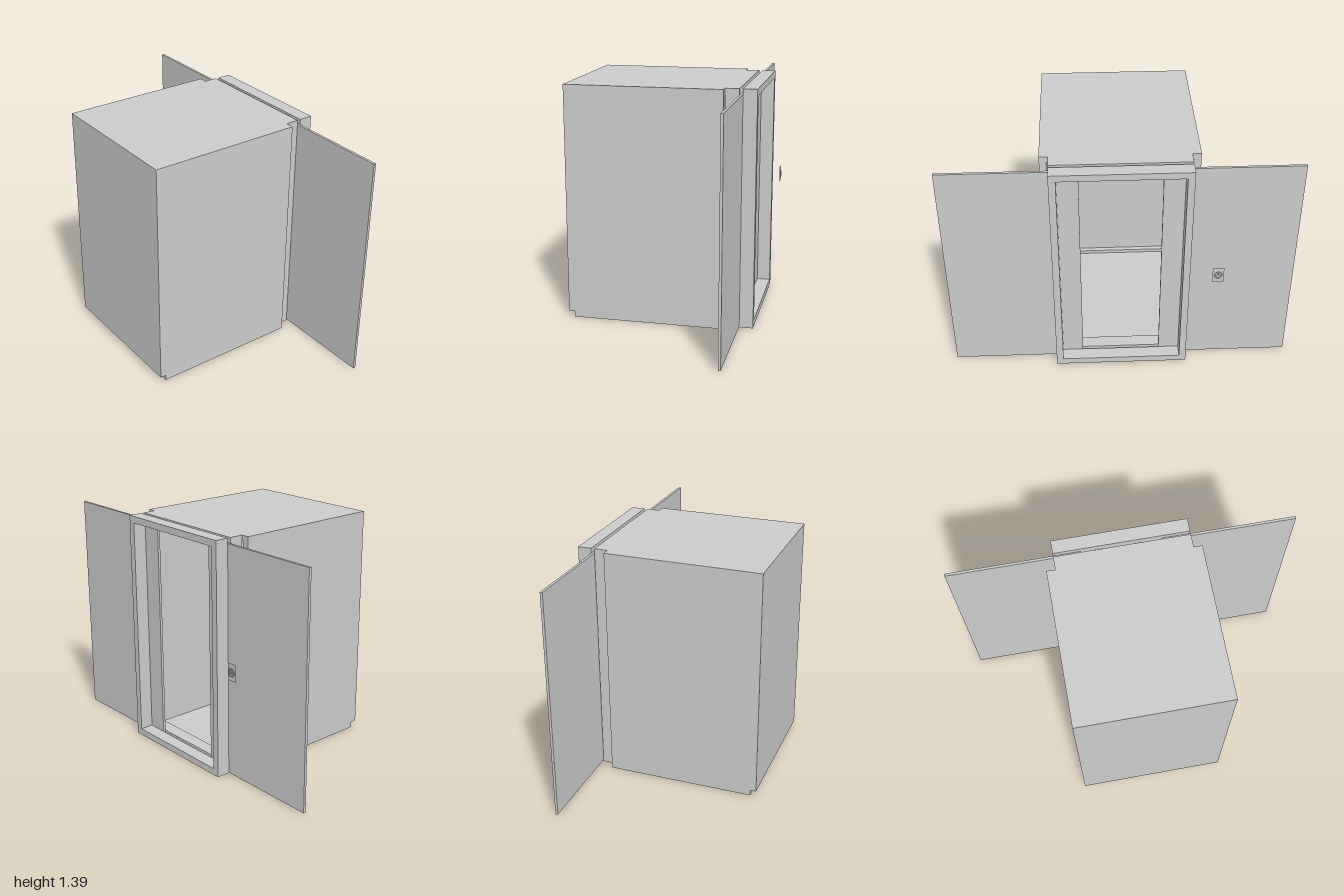
import * as THREE from 'three';

const material = new THREE.MeshStandardMaterial({ color: 0xcccccc, flatShading: true });
const thin = new THREE.MeshStandardMaterial({ color: 0xcccccc, side: THREE.DoubleSide });

// Box given by its minimum and maximum on each axis
function slab(name, [x0, x1], [y0, y1], [z0, z1]) {
  const mesh = new THREE.Mesh(new THREE.BoxGeometry(x1 - x0, y1 - y0, z1 - z0), material);
  mesh.position.set((x0 + x1) / 2, (y0 + y1) / 2, (z0 + z1) / 2);
  mesh.name = name;
  return mesh;
}

// Range on the left (+1) or right (-1) side
const side = (s, a, b) => (s > 0 ? [a, b] : [-b, -a]);

// Rectangular surround with a doorway through it
function doorFrame(name, z0, z1) {
  const w = 0.39, h = 1.39, t = 0.04;
  const shape = new THREE.Shape();
  shape.moveTo(-w, 0).lineTo(w, 0).lineTo(w, h).lineTo(-w, h).closePath();
  const hole = new THREE.Path();
  hole.moveTo(-w + t, t).lineTo(-w + t, h - t).lineTo(w - t, h - t).lineTo(w - t, t).closePath();
  shape.holes.push(hole);
  const geometry = new THREE.ExtrudeGeometry(shape, { depth: z1 - z0, bevelEnabled: false });
  const mesh = new THREE.Mesh(geometry, material);
  mesh.position.z = z0;
  mesh.name = name;
  return mesh;
}

// Wall plate with a ringed arrow button
function callPanel() {
  const group = new THREE.Group();
  group.name = 'callPanel';
  const plate = new THREE.Mesh(new THREE.PlaneGeometry(0.065, 0.1), thin);
  plate.name = 'plate';
  const ring = new THREE.Mesh(new THREE.TorusGeometry(0.021, 0.004, 8, 24), thin);
  ring.name = 'buttonRing';
  ring.scale.z = 0.8;
  ring.position.z = 0.003;
  const arrow = new THREE.Mesh(new THREE.CylinderGeometry(0.012, 0.012, 0.005, 3), material);
  arrow.name = 'buttonArrow';
  arrow.rotation.x = -Math.PI / 2;
  arrow.position.z = 0.003;
  group.add(plate, ring, arrow);
  group.rotation.y = Math.PI;
  group.position.set(-0.545, 0.7, -0.558);
  return group;
}

export function createModel() {
  const model = new THREE.Group();
  model.name = 'liftCar';

  // Cabin shell, open towards the doors
  const cabin = new THREE.Group();
  cabin.name = 'cabin';
  cabin.add(
    slab('floor', [-0.4, 0.4], [0, 0.012], [-0.35, 0.5]),
    slab('frontPlinth', [-0.4, 0.4], [0, 0.035], [0.5, 0.53]),
    slab('frontWall', [-0.44, 0.44], [0.035, 1.39], [0.53, 0.565]),
    slab('ceiling', [-0.4, 0.4], [1.355, 1.39], [-0.35, 0.53])
  );
  for (const s of [1, -1]) {
    const label = s > 0 ? 'left' : 'right';
    cabin.add(
      slab(label + 'Wall', side(s, 0.4, 0.44), [0.035, 1.39], [-0.35, 0.53]),
      slab(label + 'Plinth', side(s, 0.4, 0.4385), [0, 0.035], [-0.35, 0.53]),
      slab(label + 'Door', side(s, 0.23, 1), [0.003, 1.36], [-0.45, -0.435])
    );
  }
  model.add(cabin);

  // Frames on both sides of the sliding doors
  model.add(doorFrame('cabinDoorFrame', -0.43, -0.35));
  model.add(doorFrame('landingDoorFrame', -0.53, -0.45));
  model.add(callPanel());
  return model;
}
